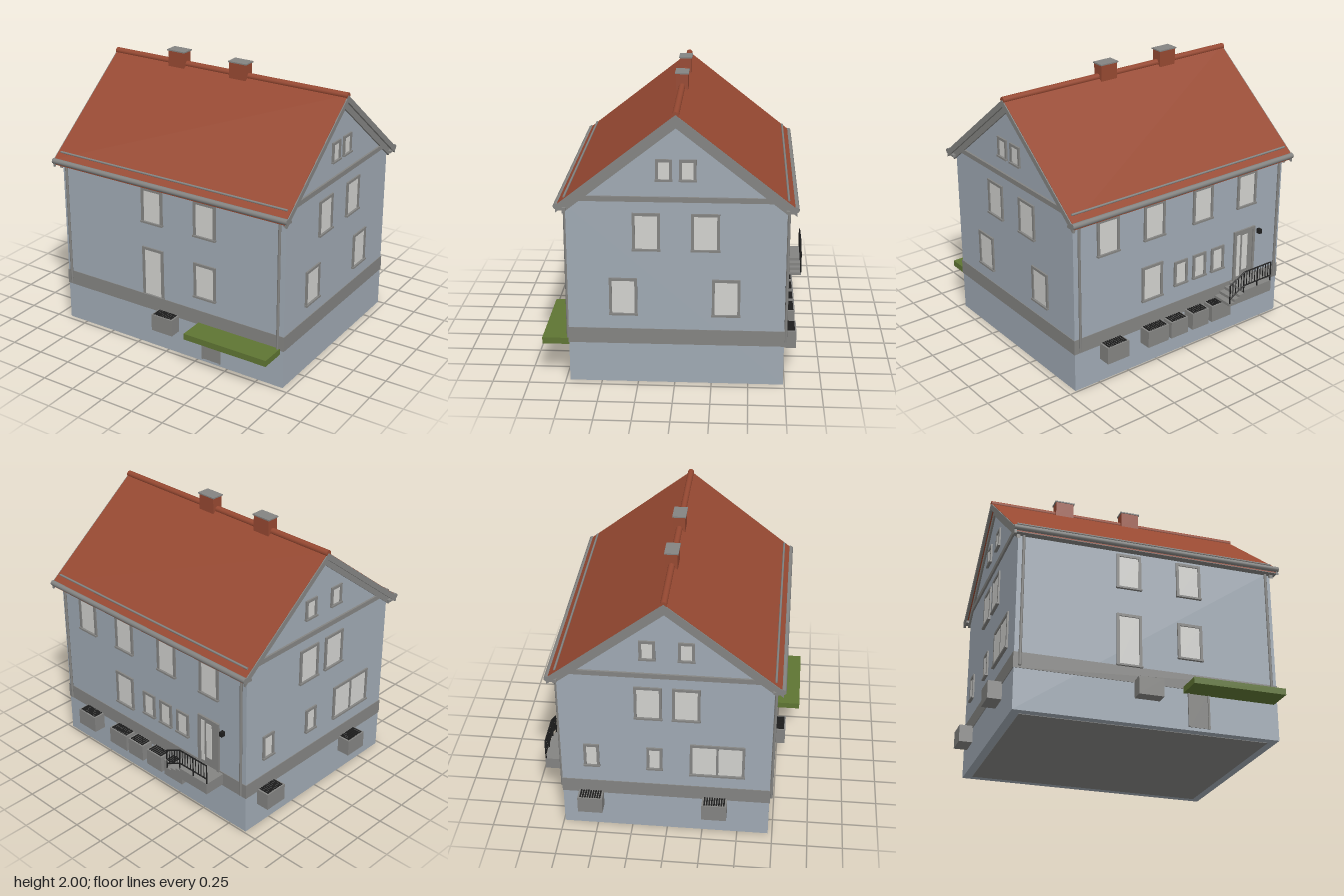
import * as THREE from 'three';

const mat = (name, color) => {
  const m = new THREE.MeshStandardMaterial({ color });
  m.name = name;
  return m;
};

export function createModel() {
  const wall = mat('wall blue grey', 0xa0aab4);
  const grey = mat('trim grey', 0x848482);
  const red = mat('roof red', 0x974932);
  const pane = mat('pane white', 0xd2d2cf);
  const green = mat('canopy green', 0x5f7533);
  const black = mat('iron black', 0x1e1e1e);

  const house = new THREE.Group();
  house.name = 'house';

  const add = (parent, name, geometry, material) => {
    const mesh = new THREE.Mesh(geometry, material);
    mesh.name = name;
    parent.add(mesh);
    return mesh;
  };
  // box given by its limits on each axis
  const box = (parent, name, x0, x1, y0, y1, z0, z1, material) => {
    const g = new THREE.BoxGeometry(x1 - x0, y1 - y0, z1 - z0);
    g.translate((x0 + x1) / 2, (y0 + y1) / 2, (z0 + z1) / 2);
    return add(parent, name, g, material);
  };
  // round bar between two points
  const bar = (parent, name, a, b, r, material, sides = 8) => {
    const p = new THREE.Vector3(...a), q = new THREE.Vector3(...b);
    const mesh = add(parent, name, new THREE.CylinderGeometry(r, r, p.distanceTo(q), sides), material);
    mesh.position.copy(p).add(q).multiplyScalar(0.5);
    mesh.quaternion.setFromUnitVectors(new THREE.Vector3(0, 1, 0), q.sub(p).normalize());
    return mesh;
  };
  // outline of [z, y] points extruded along x
  const extrudeX = (name, points, x0, x1, material) => {
    const shape = new THREE.Shape(points.map(([z, y]) => new THREE.Vector2(z, y)));
    const g = new THREE.ExtrudeGeometry(shape, { depth: x1 - x0, bevelEnabled: false });
    g.rotateY(-Math.PI / 2);
    g.translate(x1, 0, 0);
    return add(house, name, g, material);
  };

  // walls with gables
  const X0 = -0.9, X1 = 0.95, Z0 = -0.74, Z1 = 0.72, ZC = -0.01;
  const roofY = d => 1.908 - 0.785 * d;
  extrudeX('walls', [[Z0, 0.003], [Z1, 0.003], [Z1, 1.28], [ZC, 1.855], [Z0, 1.28]], X0, X1, wall);
  box(house, 'baseFloor', X0 + 0.06, X1 - 0.06, 0, 0.006, Z0 + 0.06, Z1 - 0.06, grey);
  box(house, 'plinthBand', X0 - 0.005, X1 + 0.005, 0.29, 0.4, Z0 - 0.004, Z1 + 0.004, grey);

  // roof, verge boards and gable trim share one chevron section
  const chevron = (half, top, bottom) => [
    [ZC - half, roofY(half) - top], [ZC - half, roofY(half) - bottom], [ZC, roofY(0) - bottom],
    [ZC + half, roofY(half) - bottom], [ZC + half, roofY(half) - top], [ZC, roofY(0) - top],
  ];
  extrudeX('roof', chevron(0.785, 0, 0.04), -0.935, 0.985, red);
  for (const [a, b] of [[-0.942, -0.925], [0.975, 0.992]]) {
    extrudeX('vergeBoard', chevron(0.79, 0.003, 0.052), a, b, grey);
  }
  for (const [a, b] of [[X0 - 0.014, X0 + 0.01], [X1 - 0.01, X1 + 0.014]]) {
    extrudeX('gableRakeTrim', chevron(0.75, 0.04, 0.098), a, b, grey);
    box(house, 'gableBand', a, b, 1.31, 1.345, ZC - 0.64, ZC + 0.64, grey);
  }
  bar(house, 'ridgeTile', [-0.94, 1.902, ZC], [0.99, 1.902, ZC], 0.023, red, 12);

  // eaves, gutters, snow guards and downpipes
  for (const s of [-1, 1]) {
    const z = d => ZC + s * d;
    const span = (name, d0, d1, y0, y1, m) =>
      box(house, name, -0.935, 0.985, y0, y1, Math.min(z(d0), z(d1)), Math.max(z(d0), z(d1)), m);
    span('soffit', 0.72, 0.775, 1.25, 1.268, grey);
    span('fascia', 0.765, 0.782, 1.25, 1.29, grey);
    bar(house, 'gutter', [-0.942, 1.28, z(0.785)], [0.992, 1.28, z(0.785)], 0.02, grey, 12);
    bar(house, 'snowGuard', [-0.91, 1.337, z(0.735)], [0.96, 1.337, z(0.735)], 0.008, grey);
    for (const x of [-0.862, 0.91]) {
      bar(house, 'downpipe', [x, 0.305, z(0.742)], [x, 1.26, z(0.742)], 0.01, grey, 10);
    }
  }

  // chimneys
  for (const x of [-0.38, 0.14]) {
    box(house, 'chimney', x - 0.068, x + 0.068, 1.875, 1.991, -0.052, 0.032, red);
    box(house, 'chimneyCap', x - 0.075, x + 0.075, 1.991, 2, -0.058, 0.038, grey);
  }

  // one local frame per facade: x along the wall, z outwards
  const facade = (name, angle, x, z, sign) => {
    const group = new THREE.Group();
    group.name = name;
    group.rotation.y = angle;
    group.position.set(x, 0, z);
    house.add(group);
    return { group, sign };
  };
  const front = facade('frontFacade', 0, 0, Z1, 1);
  const right = facade('rightFacade', Math.PI / 2, X1, 0, -1);
  const back = facade('backFacade', Math.PI, 0, Z0, -1);
  const left = facade('leftFacade', -Math.PI / 2, X0, 0, 1);

  // window: pane with a raised surround, an optional mullion and a sill
  const windowAt = ({ group, sign }, u0, u1, y0, y1, mullions = 0) => {
    const [a, b] = [u0 * sign, u1 * sign].sort((p, q) => p - q);
    const w = 0.019;
    box(group, 'windowPane', a + w, b - w, y0 + 0.008, y1 - w, 0, 0.004, pane);
    box(group, 'windowSide', a, a + w, y0, y1, 0, 0.012, grey);
    box(group, 'windowSide', b - w, b, y0, y1, 0, 0.012, grey);
    box(group, 'windowHead', a + w, b - w, y1 - w, y1, 0, 0.012, grey);
    box(group, 'windowSill', a - 0.003, b + 0.003, y0 - 0.003, y0 + 0.01, 0, 0.02, grey);
    for (let i = 1; i <= mullions; i++) {
      const c = a + (b - a) * i / (mullions + 1);
      box(group, 'windowMullion', c - 0.008, c + 0.008, y0 + 0.01, y1 - w, 0, 0.01, grey);
    }
  };
  const UP = [0.97, 1.23], LOW = [0.505, 0.768], ATTIC = [1.455, 1.6], SMALL = [0.535, 0.72];
  [
    [front, -0.205, -0.028, ...UP], [front, 0.23, 0.41, ...UP],
    [front, 0.23, 0.41, ...LOW], [front, -0.205, -0.028, 0.4, 0.778],
    [right, 0.095, 0.28, ...UP], [right, -0.3, -0.11, ...UP],
    [right, 0.25, 0.44, ...LOW], [right, -0.44, -0.25, ...LOW],
    [right, 0.015, 0.125, ...ATTIC], [right, -0.145, -0.03, ...ATTIC],
    [back, 0.58, 0.76, ...UP], [back, 0.19, 0.37, ...UP],
    [back, -0.24, -0.06, ...UP], [back, -0.65, -0.47, ...UP],
    [back, 0.205, 0.385, ...LOW], [back, -0.02, 0.1, ...SMALL],
    [back, -0.19, -0.07, ...SMALL], [back, -0.36, -0.24, ...SMALL],
    [left, -0.22, -0.03, ...UP], [left, 0.04, 0.23, ...UP],
    [left, 0.16, 0.54, ...LOW, 1], [left, -0.14, -0.03, ...SMALL],
    [left, -0.58, -0.47, ...SMALL], [left, -0.18, -0.07, ...ATTIC], [left, 0.08, 0.19, ...ATTIC],
  ].forEach(args => windowAt(...args));

  // cellar light wells with iron grilles
  const lightWell = ({ group, sign }, u0, u1, depth) => {
    const [a, b] = [u0 * sign, u1 * sign].sort((p, q) => p - q);
    box(group, 'lightWell', a, b, 0.18, 0.305, 0, depth, grey);
    const n = Math.round((b - a - 0.02) / 0.0175);
    for (let i = 0; i < n; i++) {
      const c = a + 0.01 + (b - a - 0.02) * (i + 0.5) / n;
      box(group, 'wellGrilleBar', c - 0.0055, c + 0.0055, 0.305, 0.31, 0.008, depth - 0.01, black);
    }
  };
  lightWell(front, -0.08, 0.095, 0.09);
  for (const [a, b] of [[0.56, 0.74], [0.21, 0.39], [0.035, 0.185], [-0.16, -0.01], [-0.37, -0.19]]) {
    lightWell(back, a, b, 0.092);
  }
  lightWell(left, -0.625, -0.45, 0.098);
  lightWell(left, 0.25, 0.425, 0.098);

  // cellar door under a green canopy
  box(house, 'cellarDoor', 0.308, 0.435, 0.025, 0.26, Z1, Z1 + 0.004, grey);
  for (const x of [0.294, 0.435]) box(house, 'cellarDoorJamb', x, x + 0.012, 0.025, 0.26, Z1, Z1 + 0.012, grey);
  box(house, 'canopy', 0.265, 0.925, 0.26, 0.305, Z1, 0.91, green);

  // back entrance door with glazed strip, and lamp
  const zb = Z0;
  box(house, 'entranceDoor', -0.65, -0.46, 0.39, 0.78, zb - 0.006, zb, grey);
  for (const x of [-0.655, -0.475]) box(house, 'doorJamb', x, x + 0.02, 0.39, 0.785, zb - 0.014, zb, grey);
  box(house, 'doorHead', -0.655, -0.455, 0.765, 0.785, zb - 0.014, zb, grey);
  box(house, 'doorGlass', -0.585, -0.535, 0.46, 0.74, zb - 0.01, zb - 0.006, pane);
  box(house, 'doorSidelight', -0.515, -0.485, 0.42, 0.75, zb - 0.01, zb - 0.006, pane);
  box(house, 'lamp', -0.705, -0.68, 0.715, 0.75, zb - 0.032, zb, black);

  // porch and steps going down towards +x
  box(house, 'porch', -0.69, -0.43, 0.305, 0.39, -0.905, zb, grey);
  [0.368, 0.347, 0.326].forEach((y, i) => {
    const x = -0.43 + i * 0.0467;
    box(house, 'porchStep', x, x + 0.0467, 0.305, y, -0.905, zb, grey);
  });

  // porch railing: level along the landing, sloping along the steps
  const zr = -0.9;
  const railY = x => (x < -0.43 ? 0.54 : 0.54 - 0.5 * (x + 0.43));
  for (const drop of [0, 0.11]) {
    bar(house, 'porchRail', [-0.685, 0.54 - drop, zr], [-0.43, 0.54 - drop, zr], 0.005, black);
    bar(house, 'porchRail', [-0.43, 0.54 - drop, zr], [-0.295, railY(-0.295) - drop, zr], 0.005, black);
  }
  for (let i = 0; i <= 15; i++) {
    const x = -0.685 + i * 0.026;
    const post = i % 5 === 0;
    bar(house, 'porchBaluster', [x, railY(x) - (post ? 0.16 : 0.11), zr], [x, railY(x), zr], post ? 0.005 : 0.003, black, 6);
  }

  return house;
}
